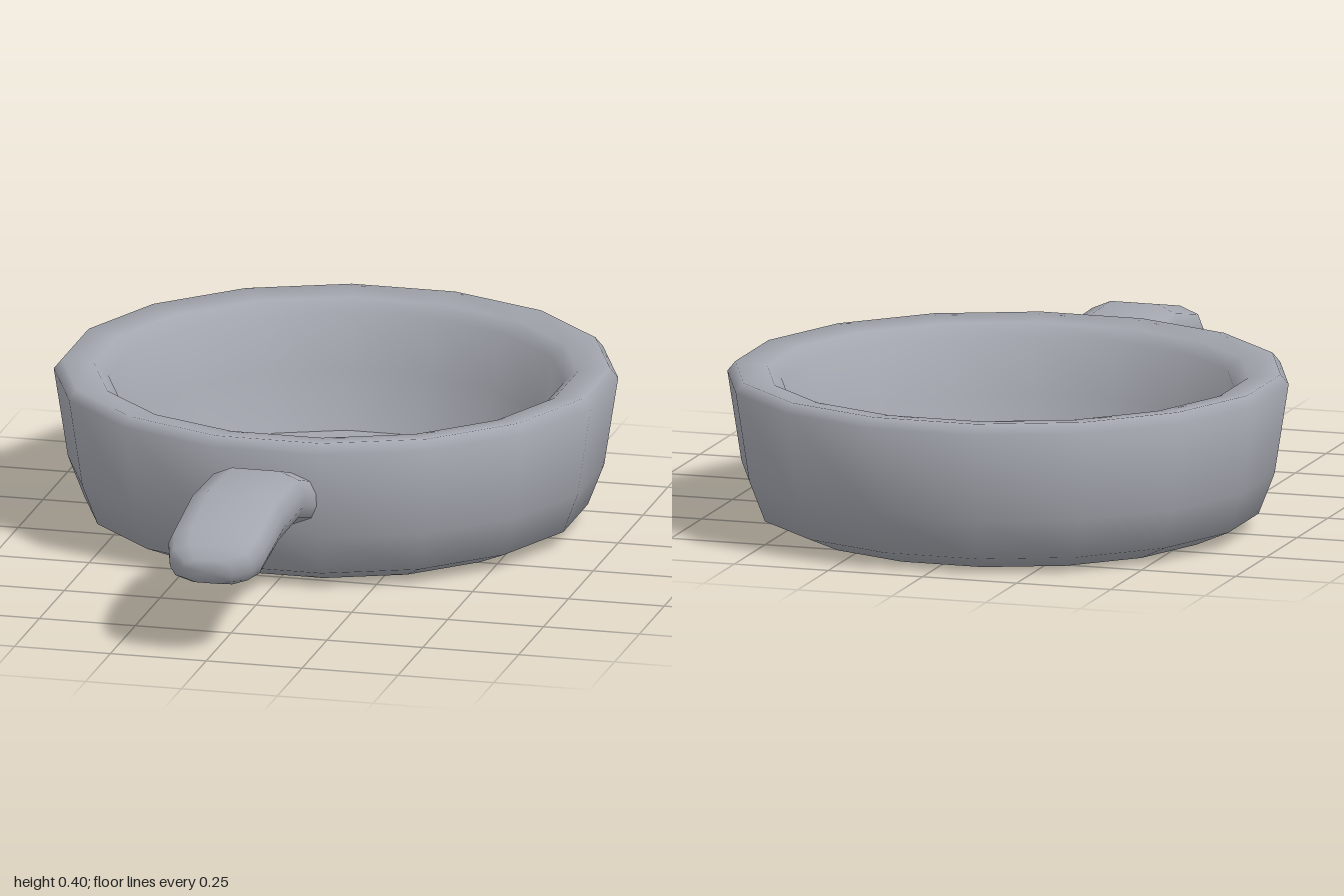
import * as THREE from 'three';
import { toCreasedNormals } from 'three/addons/utils/BufferGeometryUtils.js';

const SIDES = 16;

// Pan body: 16-sided lathe; profile radii are measured to the flats.
function panGeometry() {
  const profile = [
    [0, 0], [0.535, 0], [0.625, 0.04], [0.665, 0.145], [0.7, 0.375], [0.68, 0.4], // outside
    [0.60, 0.39], [0.565, 0.36], [0.525, 0.22], [0.465, 0.08], [0, 0.08],          // lip and inside
  ];
  const flat = Math.cos(Math.PI / SIDES);
  const points = profile.map(([r, y]) => new THREE.Vector2(r / flat, y));
  const lathe = new THREE.LatheGeometry(points, SIDES, Math.PI / SIDES);
  return toCreasedNormals(lathe, Math.PI / 3);
}

// Handle: rounded-box cross-section swept through stations in the z-y plane.
function handleGeometry() {
  const quarter = [[1, 0.25], [0.88, 0.72], [0.5, 1]];
  const half = [...quarter, ...quarter.map(([x, y]) => [-x, y]).reverse()];
  const ring = [...half, ...half.map(([x, y]) => [-x, -y])];
  // [top z, top y, bottom z, bottom y, half width]
  const stations = [
    [0.34, 0.305, 0.30, 0.16, 0.125],
    [0.50, 0.358, 0.50, 0.219, 0.125],
    [0.72, 0.363, 0.69, 0.218, 0.125],
    [0.905, 0.322, 0.885, 0.188, 0.125],
    [0.965, 0.292, 0.945, 0.19, 0.107],
    [0.993, 0.262, 0.982, 0.2, 0.065],
  ];
  const positions = [];
  const index = [];
  const n = ring.length;
  for (const [tz, ty, bz, by, w] of stations) {
    for (const [u, v] of ring) {
      const t = (v + 1) / 2;
      positions.push(u * w, by + (ty - by) * t, bz + (tz - bz) * t);
    }
  }
  for (let s = 0; s < stations.length - 1; s++) {
    for (let i = 0; i < n; i++) {
      const a = s * n + i, b = s * n + (i + 1) % n;
      index.push(a, b, b + n, a, b + n, a + n);
    }
  }
  // Rounded tip
  const tip = positions.length / 3;
  const last = (stations.length - 1) * n;
  positions.push(0, 0.234, 1);
  for (let i = 0; i < n; i++) index.push(last + i, last + (i + 1) % n, tip);

  const geometry = new THREE.BufferGeometry();
  geometry.setAttribute('position', new THREE.Float32BufferAttribute(positions, 3));
  geometry.setIndex(index);
  geometry.computeVertexNormals();
  return geometry;
}

export function createModel() {
  const metal = new THREE.MeshStandardMaterial({ color: 0xa3a6ae });
  metal.name = 'grey metal';

  const pan = new THREE.Mesh(panGeometry(), metal);
  pan.name = 'panBody';
  pan.position.z = -0.305;

  const handle = new THREE.Mesh(handleGeometry(), metal);
  handle.name = 'handle';

  const model = new THREE.Group();
  model.name = 'fryingPan';
  model.add(pan, handle);
  return model;
}
